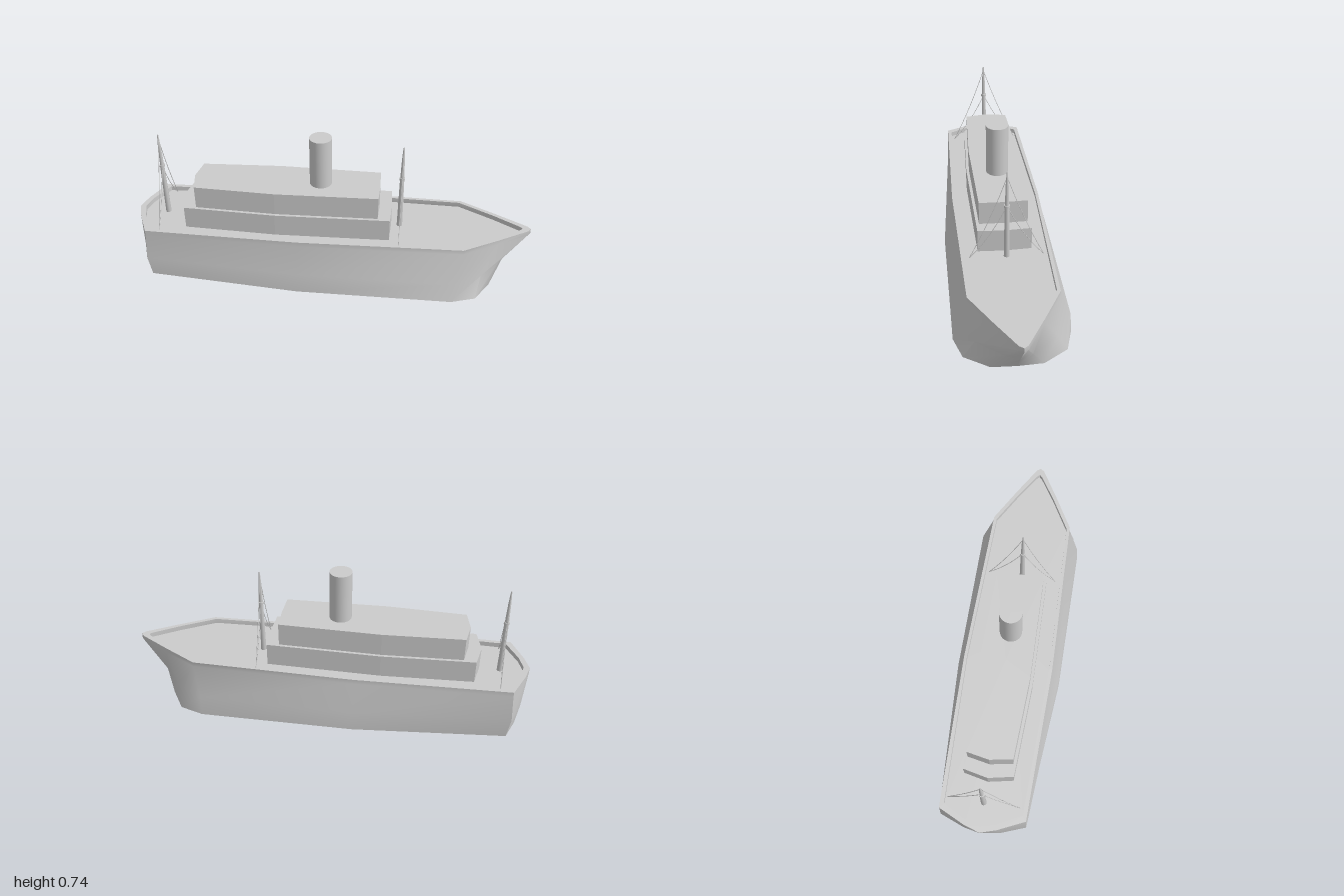
import * as THREE from 'three';
import { toCreasedNormals } from 'three/addons/utils/BufferGeometryUtils.js';

const material = new THREE.MeshStandardMaterial({ color: 0xcccccc });

function add(parent, name, geometry, x = 0, y = 0, z = 0) {
  const mesh = new THREE.Mesh(geometry, material);
  mesh.name = name;
  mesh.position.set(x, y, z);
  parent.add(mesh);
  return mesh;
}

// Half outline [x, z] from bow to stern, mirrored into a closed ring at height y
function ring(half, y) {
  const other = half.slice(1, -1).reverse().map(([x, z]) => [x, -z]);
  return [...half, ...other].map(([x, z]) => new THREE.Vector3(x, y, z));
}

// Skin a stack of rings, closing the first and last one with a fan
function loft(rings, crease, centreX) {
  const cap = (r) => r.map((p) => new THREE.Vector3(centreX, p.y, 0));
  const all = [cap(rings[0]), ...rings, cap(rings[rings.length - 1])];
  const positions = [];
  const tri = (a, b, c) => {
    if (a.equals(b) || b.equals(c) || a.equals(c)) return;
    for (const p of [a, b, c]) positions.push(p.x, p.y, p.z);
  };
  for (let k = 0; k < all.length - 1; k++) {
    const lo = all[k], hi = all[k + 1], n = lo.length;
    for (let i = 0; i < n; i++) {
      const j = (i + 1) % n;
      tri(lo[i], hi[i], lo[j]);
      tri(lo[j], hi[i], hi[j]);
    }
  }
  const g = new THREE.BufferGeometry();
  g.setAttribute('position', new THREE.Float32BufferAttribute(positions, 3));
  return toCreasedNormals(g, crease);
}

// Hull outlines: keel plate, bilge, bulwark outside and bulwark inside
const KEEL = [[0.82, 0], [0.815, 0.12], [0.74, 0.237], [0.62, 0.275], [-0.15, 0.275], [-0.91, 0.21], [-0.955, 0.1], [-0.965, 0]];
const BILGE = [[0.89, 0], [0.86, 0.06], [0.76, 0.185], [0.62, 0.267], [-0.15, 0.268], [-0.925, 0.215], [-0.972, 0.09], [-0.985, 0]];
const RAIL = [[1, 0], [0.985, 0.02], [0.83, 0.112], [0.66, 0.208], [-0.15, 0.227], [-0.915, 0.21], [-0.975, 0.08], [-1, 0]];
const INNER = [[0.96, 0], [0.945, 0.015], [0.82, 0.095], [0.65, 0.192], [-0.15, 0.212], [-0.89, 0.19], [-0.95, 0.075], [-0.97, 0]];

// Deckhouse outlines
const LOWER = [[0.303, 0], [0.297, 0.13], [-0.27, 0.142], [-0.73, 0.122], [-0.755, 0]];
const UPPER = [[0.241, 0], [0.237, 0.117], [-0.27, 0.128], [-0.67, 0.11], [-0.69, 0]];

const DECK = 0.25;

// Tapered pole with a collar and two pairs of sagging stays
function createMast(name, x) {
  const mast = new THREE.Group();
  mast.name = name;
  mast.position.set(x, 0, -0.004);
  const profile = [[0, DECK], [0.014, DECK], [0.011, 0.5], [0.007, 0.64], [0.003, 0.705], [0, 0.705]];
  add(mast, 'pole', new THREE.LatheGeometry(profile.map(([r, y]) => new THREE.Vector2(r, y)), 12));
  add(mast, 'collar', new THREE.CylinderGeometry(0.014, 0.014, 0.012, 12), 0, 0.53, 0);
  for (const side of [1, -1]) {
    for (const [top, sag] of [[0.685, 0.025], [0.53, 0.04]]) {
      const curve = new THREE.QuadraticBezierCurve3(
        new THREE.Vector3(0, top, 0),
        new THREE.Vector3(0, (top + DECK) / 2 - sag, side * 0.08),
        new THREE.Vector3(0, DECK, side * 0.178),
      );
      add(mast, 'stay', new THREE.TubeGeometry(curve, 12, 0.0016, 5));
    }
  }
  return mast;
}

export function createModel() {
  const ship = new THREE.Group();
  ship.name = 'ship';

  // Hull with bulwark and sunken deck
  add(ship, 'hull', loft([
    ring(KEEL, 0), ring(BILGE, 0.105), ring(RAIL, DECK), ring(RAIL, 0.275),
    ring(INNER, 0.275), ring(INNER, DECK),
  ], 0.75, 0));

  // Two stepped deckhouses
  add(ship, 'lowerDeckhouse', loft([ring(LOWER, DECK - 0.005), ring(LOWER, 0.367)], 0.02, -0.2));
  add(ship, 'upperDeckhouse', loft([ring(UPPER, 0.362), ring(UPPER, 0.485)], 0.02, -0.2));

  // Funnel
  add(ship, 'funnel', new THREE.CylinderGeometry(0.055, 0.055, 0.26, 32), -0.054, 0.61, 0);

  ship.add(createMast('foreMast', 0.345), createMast('aftMast', -0.855));
  return ship;
}
